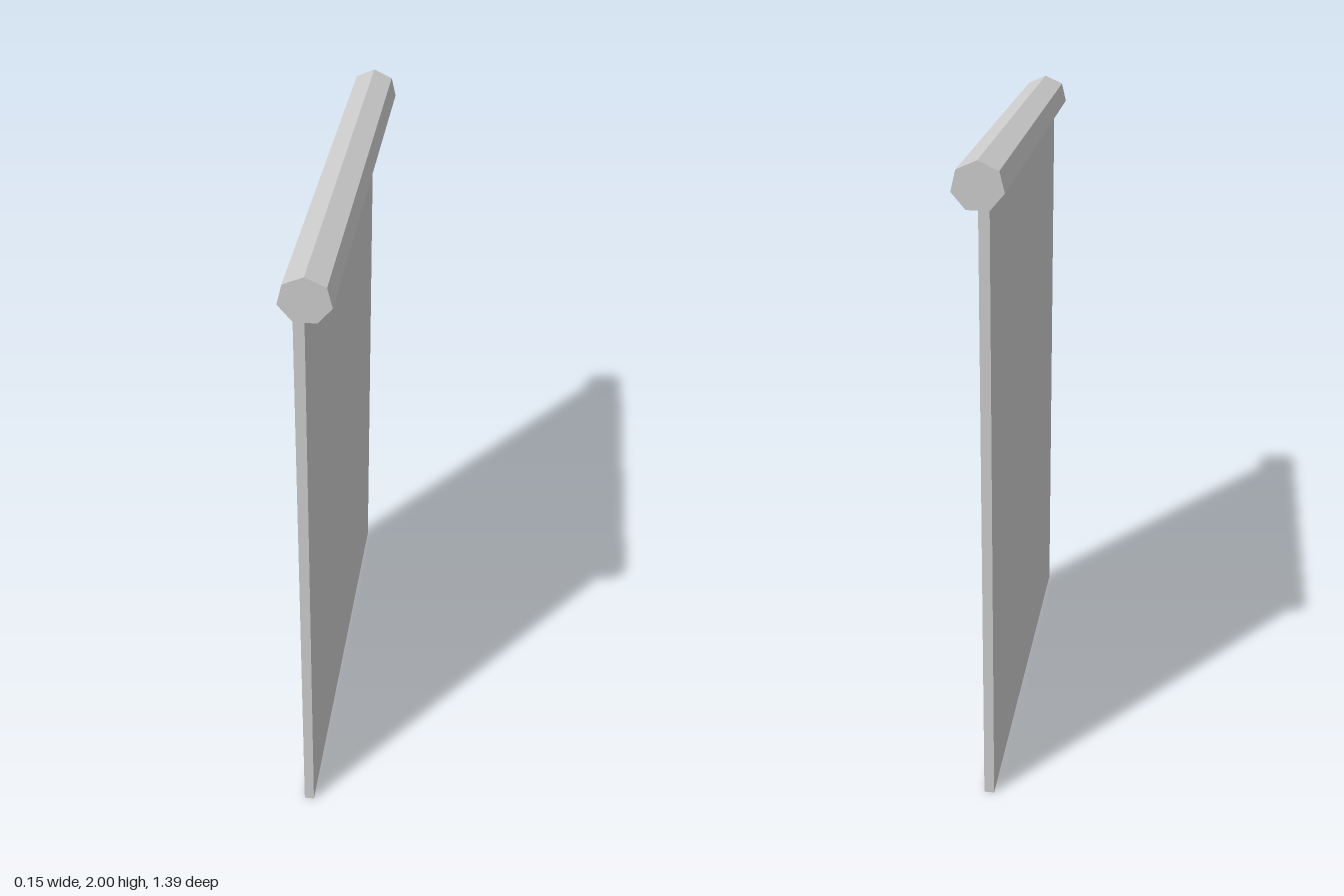
import * as THREE from 'three';

export function createModel() {
  const group = new THREE.Group();
  const grey = new THREE.MeshStandardMaterial({ color: 0xcccccc });
  const length = 1.39;
  const rx = 0.0744, ry = 0.07;

  // Seven-sided roll along z, one corner pointing up, slightly wider than tall
  const rollShape = new THREE.CylinderGeometry(1, 1, length, 7)
    .rotateX(-Math.PI / 2)
    .scale(rx, ry, 1)
    .toNonIndexed();
  rollShape.computeVertexNormals();
  const roll = new THREE.Mesh(rollShape, grey);
  roll.name = 'roll';
  roll.position.y = 2 - ry;
  group.add(roll);

  // Thin hanging sheet, from the ground to the underside of the roll
  const sheetHeight = 2 - ry - ry * Math.cos(Math.PI / 7);
  const sheet = new THREE.Mesh(new THREE.BoxGeometry(0.031, sheetHeight, length), grey);
  sheet.name = 'sheet';
  sheet.position.set(-0.0165, sheetHeight / 2, 0);
  group.add(sheet);

  return group;
}
